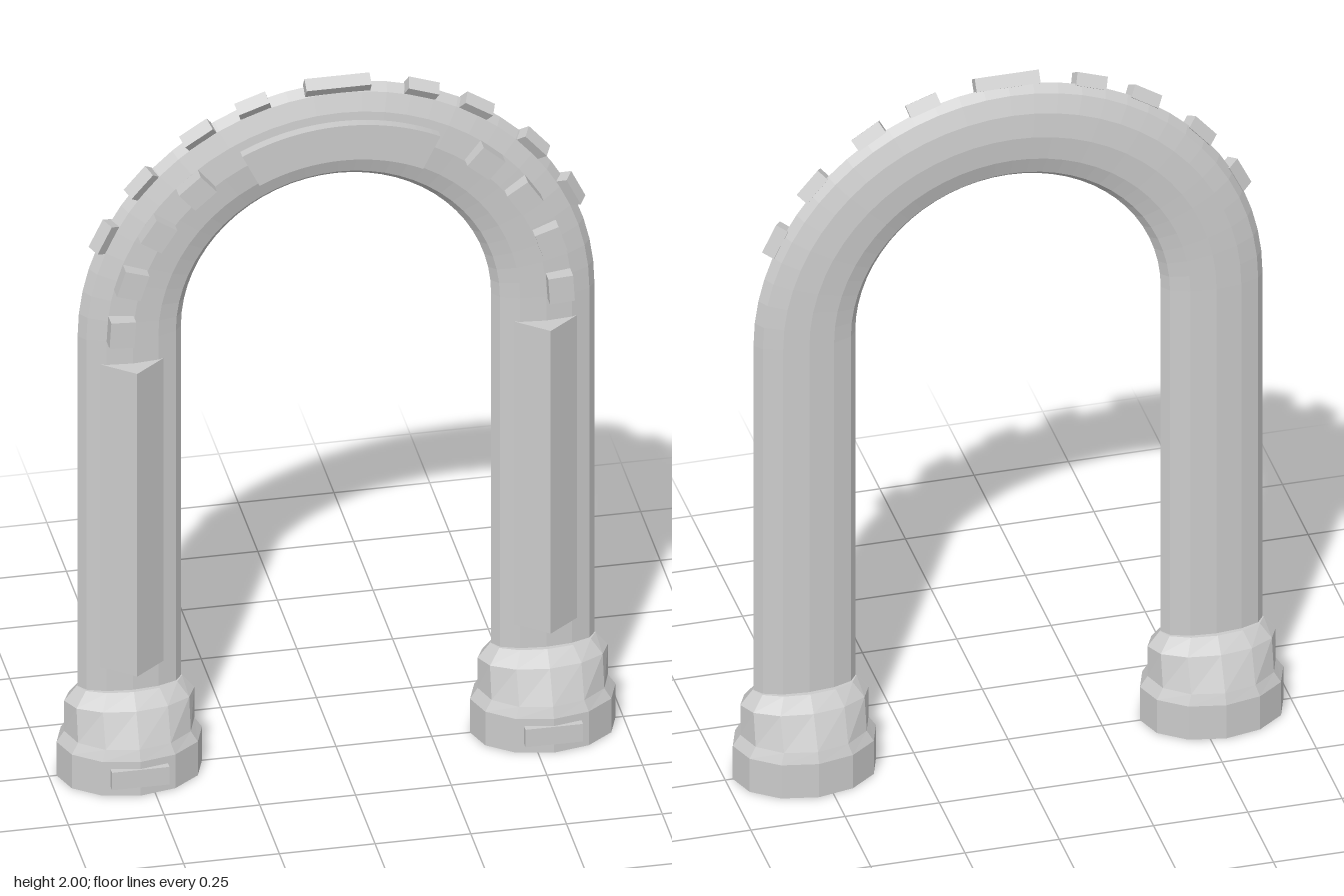
import * as THREE from 'three';

const LEG_X = 0.54;      // centreline of each leg, also the radius of the arch
const ARCH_Y = 1.3;      // height at which the arch begins
const material = new THREE.MeshStandardMaterial({ color: 0xcccccc, flatShading: true });

function add(parent, name, geometry) {
  const mesh = new THREE.Mesh(geometry, material);
  mesh.name = name;
  parent.add(mesh);
  return mesh;
}

// Skin a list of equal-sized rings (counter-clockwise along the path) and cap both ends.
function loft(rings) {
  const n = rings[0].length, pos = [], idx = [];
  rings.forEach(r => r.forEach(p => pos.push(p.x, p.y, p.z)));
  for (let i = 0; i < rings.length - 1; i++) {
    for (let j = 0; j < n; j++) {
      const a = i * n + j, b = i * n + (j + 1) % n;
      idx.push(a, b, b + n, a, b + n, a + n);
    }
  }
  const last = (rings.length - 1) * n;
  for (let j = 1; j < n - 1; j++) {
    idx.push(0, j + 1, j, last, last + j, last + j + 1);
  }
  const g = new THREE.BufferGeometry();
  g.setAttribute('position', new THREE.Float32BufferAttribute(pos, 3));
  g.setIndex(idx);
  g.computeVertexNormals();
  return g;
}

// Elliptical ring: half-width rx along direction "angle" in the xy plane, half-depth rz along z.
function ring(cx, cy, angle, rx, rz, sides) {
  return Array.from({ length: sides }, (_, j) => {
    const t = j / sides * Math.PI * 2, u = Math.cos(t) * rx;
    return new THREE.Vector3(cx + u * Math.cos(angle), cy + u * Math.sin(angle), -Math.sin(t) * rz);
  });
}

// Box placed on the arch at a polar position, its x axis pointing outward.
function archBlock(parent, name, degrees, radius, z, size, tilt = 0) {
  const a = THREE.MathUtils.degToRad(degrees);
  const m = add(parent, name, new THREE.BoxGeometry(...size));
  m.position.set(Math.cos(a) * radius, ARCH_Y + Math.sin(a) * radius, z);
  m.rotation.set(0, -tilt, a, 'ZYX');
}

export function createModel() {
  const model = new THREE.Group();
  model.name = 'archway';

  // Flattened tube: up one leg, round the arch, down the other leg
  const rings = [ring(LEG_X, 0.2, 0, 0.135, 0.048, 12)];
  const steps = 32;
  for (let i = 0; i <= steps; i++) {
    const a = i / steps * Math.PI;
    rings.push(ring(Math.cos(a) * LEG_X, ARCH_Y + Math.sin(a) * LEG_X, a, 0.135, 0.048, 12));
  }
  rings.push(ring(-LEG_X, 0.2, Math.PI, 0.135, 0.048, 12));
  add(model, 'archTube', loft(rings));

  // Legs: stepped foot, small foot plate and ridged front panel
  const footProfile = [[0, 0.19, 0.143], [0.1, 0.19, 0.143], [0.13, 0.17, 0.133], [0.22, 0.17, 0.092], [0.26, 0.138, 0.06]];
  for (const side of [1, -1]) {
    const leg = new THREE.Group();
    leg.name = side > 0 ? 'leftLeg' : 'rightLeg';
    leg.position.x = side * LEG_X;
    model.add(leg);

    add(leg, 'foot', loft(footProfile.map(([y, rx, rz]) => ring(0, y, 0, rx, rz, 12))));
    add(leg, 'footPlate', new THREE.BoxGeometry(0.15, 0.052, 0.04)).position.set(0, 0.053, 0.127);

    const panelRing = y => [[0.103, 0.02], [0.103, 0], [-0.103, 0], [-0.103, 0.02], [0, 0.102]]
      .map(([x, z]) => new THREE.Vector3(x, y, z));
    add(leg, 'legPanel', loft([panelRing(0.33), panelRing(1.23)]));
  }

  // Studs along the outer rim, tilted towards the front
  archBlock(model, 'topRimStud', 90, 0.677, 0.017, [0.035, 0.17, 0.035], 0.6);
  for (const d of [71, 57.5, 41, 26]) {
    for (const deg of [d, 180 - d]) {
      archBlock(model, 'rimStud', deg, 0.677, 0.017, [0.035, 0.085, 0.035], 0.6);
    }
  }

  // Studs on the front face of the arch
  for (const d of [3.5, 18, 33.5, 49]) {
    for (const deg of [d, 180 - d]) {
      archBlock(model, 'frontStud', deg, 0.574, 0.055, [0.065, 0.075, 0.05]);
    }
  }

  // Curved plate at the front of the crown
  const from = THREE.MathUtils.degToRad(63.7), to = Math.PI - from;
  const plate = new THREE.Shape();
  plate.absarc(0, 0, 0.584, from, to, false);
  plate.absarc(0, 0, 0.482, to, from, true);
  plate.closePath();
  const crown = add(model, 'crownPlate',
    new THREE.ExtrudeGeometry(plate, { depth: 0.045, bevelEnabled: false, curveSegments: 12 }));
  crown.position.set(0, ARCH_Y, 0.025);

  return model;
}
